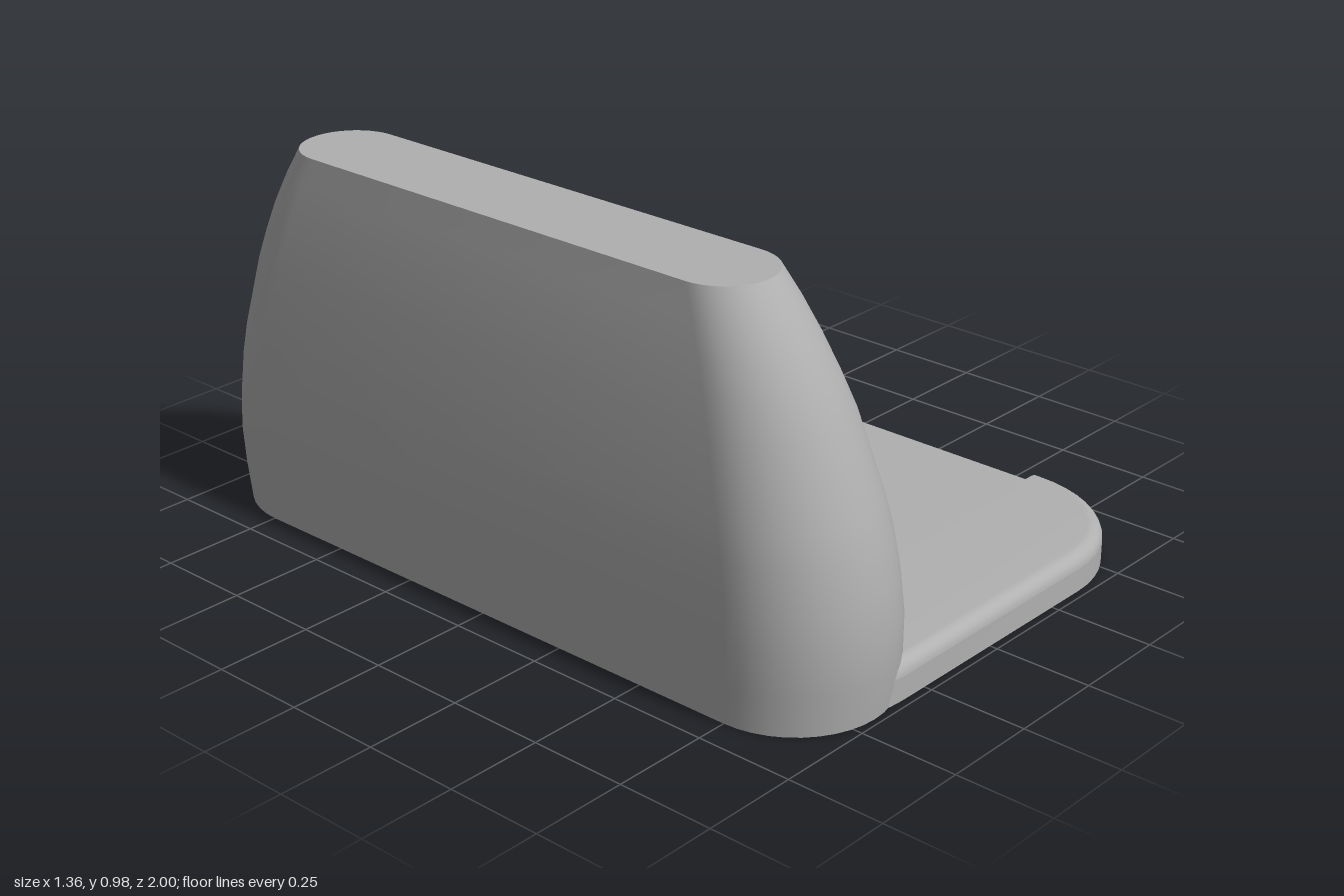
import * as THREE from 'three';
import { toCreasedNormals } from 'three/addons/utils/BufferGeometryUtils.js';

// Joins closed rings of Vector3 into a skin; caps are flat in plan
function loft(rings, { bottom = false, top = false, skip = () => false } = {}) {
  const pos = [];
  const n = rings[0].length;
  const tri = (...pts) => pts.forEach((p) => pos.push(p.x, p.y, p.z));
  for (let i = 0; i + 1 < rings.length; i++) {
    for (let j = 0; j < n; j++) {
      if (skip(i, j)) continue;
      const k = (j + 1) % n;
      const a = rings[i][j], b = rings[i][k], c = rings[i + 1][k], d = rings[i + 1][j];
      tri(a, b, c);
      tri(a, c, d);
    }
  }
  const cap = (ring, flip) => {
    const plan = ring.map((p) => new THREE.Vector2(p.x, -p.z));
    for (const [a, b, c] of THREE.ShapeUtils.triangulateShape(plan, [])) {
      if (flip) tri(ring[a], ring[c], ring[b]);
      else tri(ring[a], ring[b], ring[c]);
    }
  };
  if (bottom) cap(rings[0], true);
  if (top) cap(rings[rings.length - 1], false);
  const geo = new THREE.BufferGeometry();
  geo.setAttribute('position', new THREE.Float32BufferAttribute(pos, 3));
  return toCreasedNormals(geo, 0.45);
}

// Points of an arc in plan, turning anticlockwise seen from above
function arc(cx, cz, r, y, from, to, steps) {
  return Array.from({ length: steps + 1 }, (_, i) => {
    const t = from + ((to - from) * i) / steps;
    return new THREE.Vector3(cx + r * Math.cos(t), y, cz - r * Math.sin(t));
  });
}

const WIN = { y0: 0.48, y1: 0.67, z: 0.1, back: -0.34 };

// Upright body rows: height, rear x, front x, half length
const ROWS = [
  [0, -0.67, -0.199, 0.984],
  [0.1, -0.676, -0.197, 0.996],
  [0.2, -0.68, -0.202, 1.0],
  [0.3, -0.68, -0.209, 0.99],
  [0.4, -0.678, -0.221, 0.972],
  [WIN.y0, -0.675, -0.234, 0.95],
  [WIN.y1, -0.661, -0.272, 0.885],
  [0.75, -0.652, -0.295, 0.85],
  [0.83, -0.643, -0.319, 0.81],
  [0.91, -0.631, -0.345, 0.763],
  [0.98, -0.62, -0.37, 0.715],
];

// Stadium outline whose first edge is the window strip on the front face
function bodyRing([y, x0, x1, half]) {
  const r = (x1 - x0) / 2, cx = (x0 + x1) / 2, zc = half - r;
  return [
    new THREE.Vector3(x1, y, WIN.z),
    new THREE.Vector3(x1, y, -WIN.z),
    ...arc(cx, -zc, r, y, 0, Math.PI, 20),
    ...arc(cx, zc, r, y, Math.PI, 2 * Math.PI, 20),
  ];
}

// Rounded base outline, inset by d; the tray cuts it open at the right edge
function baseRing(y, d, tray) {
  const r = 0.32 - d, q = Math.PI / 2;
  const pts = [[0.36, -0.66], [-0.33, -0.66], [-0.33, 0.66], [0.36, 0.66]]
    .flatMap(([x, z], i) => arc(x, z, r, y, i * q, (i + 1) * q, 12));
  if (tray) {
    const e = 0.68 - d;
    [[e, 0.64], [-0.12, 0.64], [-0.12, -0.64], [e, -0.64]]
      .forEach(([x, z]) => pts.push(new THREE.Vector3(x, y, z)));
  }
  return pts;
}

export function createModel() {
  const model = new THREE.Group();
  const grey = new THREE.MeshStandardMaterial({ color: 0xb0b0b0 });
  grey.name = 'grey';
  const add = (name, geo) => {
    const mesh = new THREE.Mesh(geo, grey);
    mesh.name = name;
    model.add(mesh);
    return mesh;
  };

  // Tapered upright body with an opening in its front face
  const winRow = ROWS.findIndex((r) => r[0] === WIN.y0);
  add('uprightBody', loft(ROWS.map(bodyRing), {
    bottom: true, top: true, skip: (i, j) => i === winRow && j === 0,
  }));

  // Pocket behind the opening
  const pocketRing = (xLow, xHigh) => [
    new THREE.Vector3(xLow, WIN.y0, WIN.z),
    new THREE.Vector3(xLow, WIN.y0, -WIN.z),
    new THREE.Vector3(xHigh, WIN.y1, -WIN.z),
    new THREE.Vector3(xHigh, WIN.y1, WIN.z),
  ];
  add('pocketWalls', loft([
    pocketRing(ROWS[winRow][2], ROWS[winRow + 1][2]),
    pocketRing(WIN.back, WIN.back),
  ]));
  const back = new THREE.PlaneGeometry(2 * WIN.z, WIN.y1 - WIN.y0).rotateY(Math.PI / 2);
  add('pocketBack', back).position.set(WIN.back, (WIN.y0 + WIN.y1) / 2, 0);

  // Base slab, whose top is the tray floor
  add('baseSlab', loft([baseRing(0, 0), baseRing(0.06, 0)], { bottom: true, top: true }));

  // Raised rim around the tray with a rounded upper edge
  const rim = [baseRing(0.06, 0, true)];
  const fillet = 0.035;
  for (let i = 1; i <= 6; i++) {
    const t = (i / 6) * (Math.PI / 2);
    rim.push(baseRing(0.06 + fillet * Math.sin(t), fillet * (1 - Math.cos(t)), true));
  }
  add('baseRim', loft(rim, { top: true }));

  // Block with rounded corners standing out from the body
  const w = 0.285, y0 = 0.06, y1 = 0.445, c = 0.045;
  const s = new THREE.Shape();
  s.absarc(w - c, y0 + c, c, -Math.PI / 2, 0);
  s.absarc(w - c, y1 - c, c, 0, Math.PI / 2);
  s.absarc(-w + c, y1 - c, c, Math.PI / 2, Math.PI);
  s.absarc(-w + c, y0 + c, c, Math.PI, Math.PI * 1.5);
  const block = new THREE.ExtrudeGeometry(s, { depth: 0.21, bevelEnabled: false, curveSegments: 8 });
  block.rotateY(Math.PI / 2);
  add('frontBlock', toCreasedNormals(block, 0.45)).position.x = -0.26;

  return model;
}
